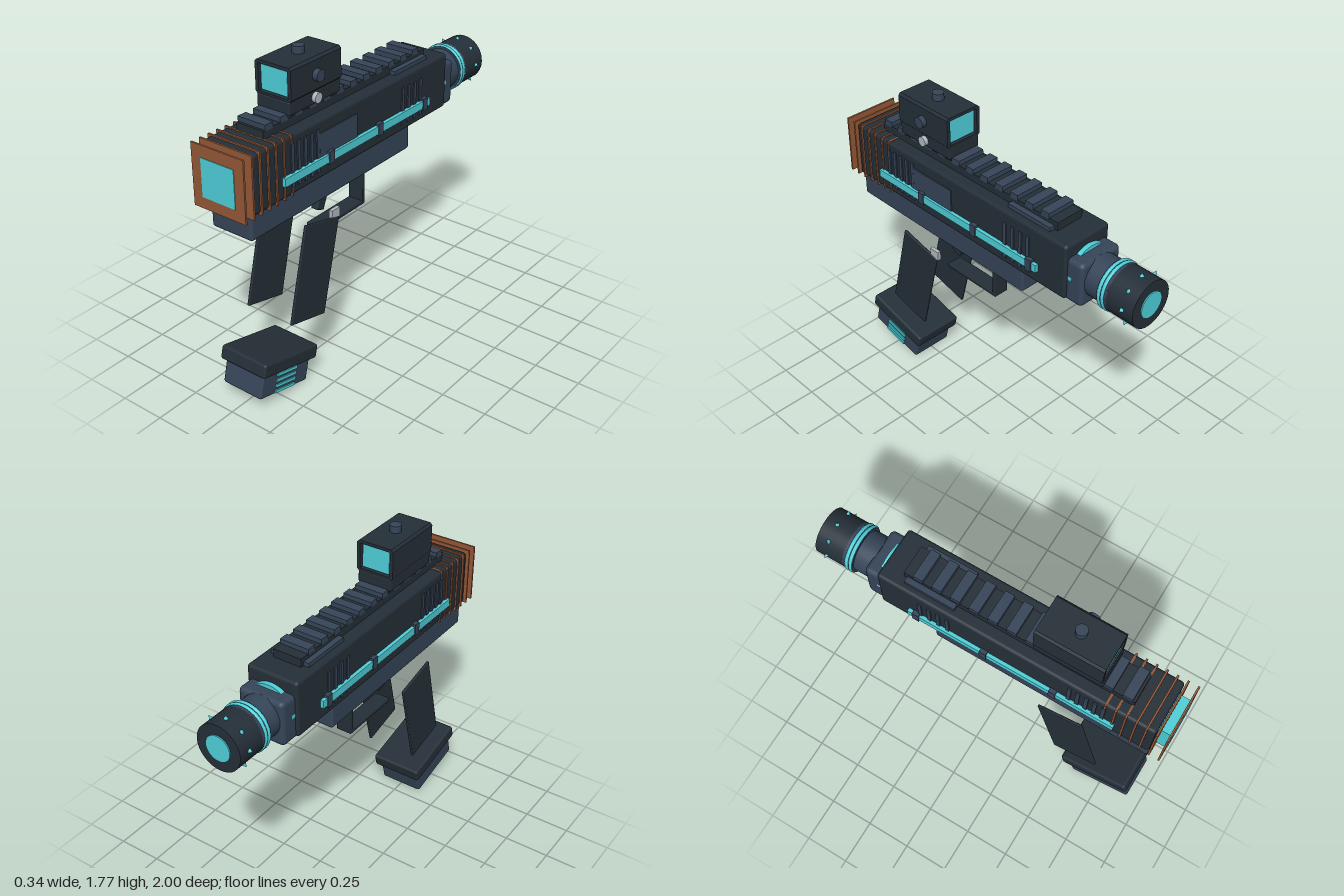
import * as THREE from 'three';
import { RoundedBoxGeometry } from 'three/addons/geometries/RoundedBoxGeometry.js';

const paint = (name, color) => {
  const m = new THREE.MeshStandardMaterial({ color });
  m.name = name;
  return m;
};

export function createModel() {
  const dark = paint('gunmetal', 0x252f38);
  const blue = paint('slate blue', 0x364559);
  const cyan = paint('glow cyan', 0x4fd0da);
  const copper = paint('copper', 0x965836);
  const steel = paint('steel', 0xb4bac0);

  const root = new THREE.Group();
  const add = (name, geo, mat, x, y, z, parent = root) => {
    const m = new THREE.Mesh(geo, mat);
    m.name = name;
    m.position.set(x, y, z);
    parent.add(m);
    return m;
  };
  const box = (name, mat, w, h, d, x, y, z, parent) =>
    add(name, new THREE.BoxGeometry(w, h, d), mat, x, y, z, parent);
  const rbox = (name, mat, w, h, d, x, y, z, r = 0.012, parent = root) =>
    add(name, new RoundedBoxGeometry(w, h, d, 2, r), mat, x, y, z, parent);
  // Cylinder lying along z between two depths
  const barrelPart = (name, mat, r, z0, z1, y = 1.26) => {
    const g = new THREE.CylinderGeometry(r, r, Math.abs(z1 - z0), 32).rotateX(Math.PI / 2);
    return add(name, g, mat, 0, y, (z0 + z1) / 2);
  };
  const group = (name, y, z, tilt) => {
    const g = new THREE.Group();
    g.name = name;
    g.position.set(0, y, z);
    g.rotation.x = tilt;
    root.add(g);
    return g;
  };

  // Receiver
  rbox('upperReceiver', dark, 0.295, 0.307, 1.53, 0, 1.287, 0.165, 0.018);
  rbox('lowerReceiver', blue, 0.25, 0.16, 1.23, 0, 1.073, 0.315, 0.015);

  // Front emitter and cooling fins
  box('emitter', cyan, 0.2, 0.2, 0.08, 0, 1.287, 0.962);
  for (let i = 0; i < 7; i++) {
    const s = i < 2 ? 0 : (i - 1) * 0.002;
    box('coolingFin', copper, 0.315 - s, 0.322 - s, 0.01, 0, 1.288, 0.994 - i * 0.0545);
  }

  // Top rail with teeth
  box('railBase', dark, 0.16, 0.05, 1.26, 0, 1.46, 0.15);
  for (let i = 0; i < 12; i++)
    box('railTooth', blue, 0.165, 0.032, 0.053, 0, 1.494, -0.398 + i * 0.1035);

  // Details mirrored on both sides
  for (const s of [1, -1]) {
    box('railSideBlock', blue, 0.03, 0.03, 0.28, s * 0.096, 1.447, -0.32);
    box('lightStrip', cyan, 0.025, 0.043, 1.16, s * 0.154, 1.23, 0.155);
    for (const z of [0.4, 0.01, -0.377])
      box('stripClip', blue, 0.03, 0.066, 0.038, s * 0.156, 1.232, z);
    for (let i = 0; i < 5; i++)
      box('frontVent', blue, 0.014, 0.225, 0.02, s * 0.147, 1.288, 0.48 + i * 0.046);
    for (let i = 0; i < 4; i++)
      box('rearVent', blue, 0.014, 0.205, 0.02, s * 0.147, 1.275, -0.2 - i * 0.052);
  }
  box('ejectionPanel', blue, 0.014, 0.14, 0.285, 0.147, 1.305, 0.327);

  // Barrel and muzzle
  rbox('barrelBlock', blue, 0.262, 0.245, 0.18, 0, 1.248, -0.602, 0.025);
  barrelPart('barrelGlowRing', cyan, 0.132, -0.6, -0.625);
  barrelPart('barrel', blue, 0.113, -0.68, -0.8);
  barrelPart('muzzleCollar', blue, 0.126, -0.775, -0.835);
  for (const z of [-0.788, -0.81]) {
    const g = new THREE.TorusGeometry(0.122, 0.0105, 10, 40);
    add('muzzleGlowRing', g, cyan, 0, 1.26, z);
  }
  barrelPart('muzzle', dark, 0.126, -0.828, -0.994);
  barrelPart('muzzleLens', cyan, 0.07, -0.99, -1);
  for (let i = 0; i < 8; i++) {
    const a = (i * Math.PI) / 4;
    const stud = add('muzzleStud', new THREE.ConeGeometry(0.02, 0.035, 12), cyan,
      Math.sin(a) * 0.127, 1.26 + Math.cos(a) * 0.127, -0.93);
    stud.rotation.z = -a;
  }

  // Sight: hollow housing with a lens at each end
  const frame = new THREE.Shape();
  const hw = 0.107, y0 = 1.565, y1 = 1.735, c = 0.012;
  frame.moveTo(-hw + c, y0).lineTo(hw - c, y0).lineTo(hw, y0 + c).lineTo(hw, y1 - c)
    .lineTo(hw - c, y1).lineTo(-hw + c, y1).lineTo(-hw, y1 - c).lineTo(-hw, y0 + c).closePath();
  const hole = new THREE.Path();
  hole.moveTo(-0.088, 1.58).lineTo(-0.088, 1.718).lineTo(0.088, 1.718).lineTo(0.088, 1.58).closePath();
  frame.holes.push(hole);
  add('sightHousing', new THREE.ExtrudeGeometry(frame, { depth: 0.365, bevelEnabled: false }),
    dark, 0, 0, 0.248);
  for (const z of [0.6, 0.262])
    box('sightLens', cyan, 0.158, 0.124, 0.008, 0, 1.65, z);
  rbox('sightBase', dark, 0.196, 0.07, 0.372, 0, 1.535, 0.432, 0.008);
  box('sightClamp', blue, 0.15, 0.03, 0.34, 0, 1.495, 0.432);
  const knob = r => new THREE.CylinderGeometry(r, r, 0.05, 24);
  add('topKnob', knob(0.03), blue, 0, 1.747, 0.432);
  add('sideKnob', knob(0.03), blue, 0.11, 1.65, 0.432).rotation.z = Math.PI / 2;
  add('lockKnob', knob(0.026), steel, 0.095, 1.535, 0.432).rotation.z = Math.PI / 2;

  // Trigger and guard
  rbox('guardPost', dark, 0.09, 0.25, 0.022, 0, 0.88, -0.011, 0.005);
  rbox('guardBar', dark, 0.09, 0.022, 0.37, 0, 0.766, 0.163, 0.005);
  rbox('trigger', dark, 0.04, 0.145, 0.06, 0, 0.92, 0.285, 0.006).rotation.x = -0.4;

  // Tilted grip panels, left side carrying the release button
  const tilt = -0.24;
  const grip = group('grip', 0.642, 0.512, tilt);
  for (const s of [1, -1])
    rbox('gripPanel', dark, 0.015, 0.523, 0.262, s * 0.141, 0, 0, 0.005, grip);
  box('releaseButton', steel, 0.02, 0.052, 0.06, 0.134, 0.89, 0.342);

  // Magazine foot in line with the grip
  const pad = group('footPad', 0.206, 0.707, tilt);
  rbox('padPlate', dark, 0.294, 0.077, 0.41, 0, 0, 0, 0.014, pad);
  const cell = group('powerCell', 0.107, 0.735, tilt);
  rbox('cellBlock', blue, 0.25, 0.15, 0.362, 0, 0.012, 0, 0.014, cell);
  for (let i = 0; i < 4; i++)
    box('cellLight', cyan, 0.014, 0.016, 0.15, 0.125, 0.047 - i * 0.031, 0, cell);

  return root;
}
